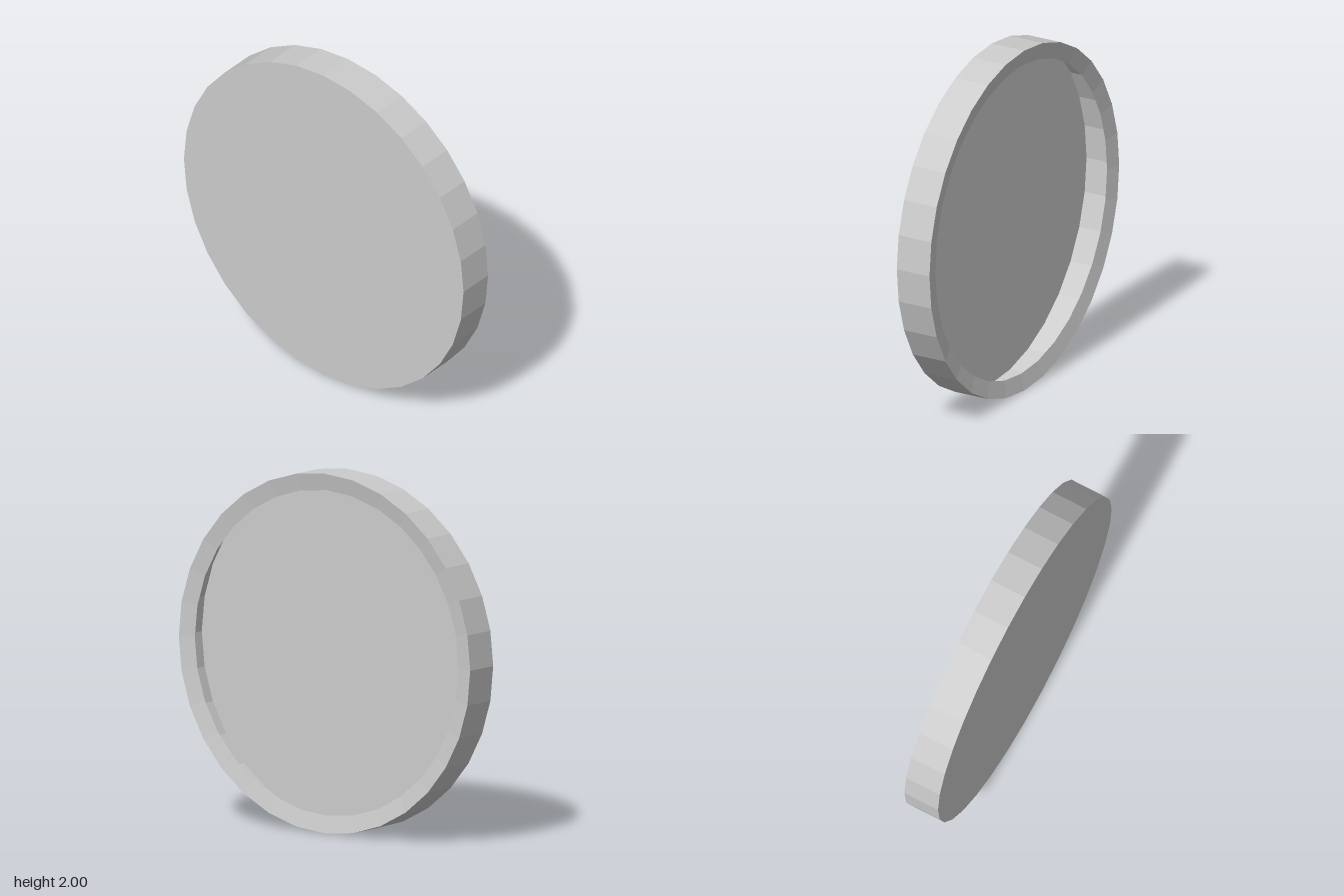
import * as THREE from 'three';

const SIDES = 32;
const RADIUS = 1;
const HALF_DEPTH = 0.105;
const LIP_RADIUS = 0.905;
const LIP_RISE = 0.02;

export function createModel() {
  const group = new THREE.Group();
  group.name = 'hollowDisc';
  const material = new THREE.MeshStandardMaterial({
    color: 0xcccccc,
    flatShading: true,
    side: THREE.DoubleSide,
  });

  const add = (name, geometry) => {
    const mesh = new THREE.Mesh(geometry, material);
    mesh.name = name;
    mesh.position.y = RADIUS;
    group.add(mesh);
  };

  // Thin band swept around the z axis from [radius, z] points, back to front
  const band = (...points) =>
    new THREE.LatheGeometry(points.map(([r, z]) => new THREE.Vector2(r, z)), SIDES).rotateX(Math.PI / 2);

  // Closed front, its inside visible through the open back
  add('frontFace', new THREE.CircleGeometry(RADIUS, SIDES).translate(0, 0, HALF_DEPTH));

  // Outer wall
  add('sideWall', band([RADIUS, -HALF_DEPTH], [RADIUS, HALF_DEPTH]));

  // Back lip, sloping slightly inward around the opening
  add('backLip', band([LIP_RADIUS, -HALF_DEPTH + LIP_RISE], [RADIUS, -HALF_DEPTH]));

  return group;
}
